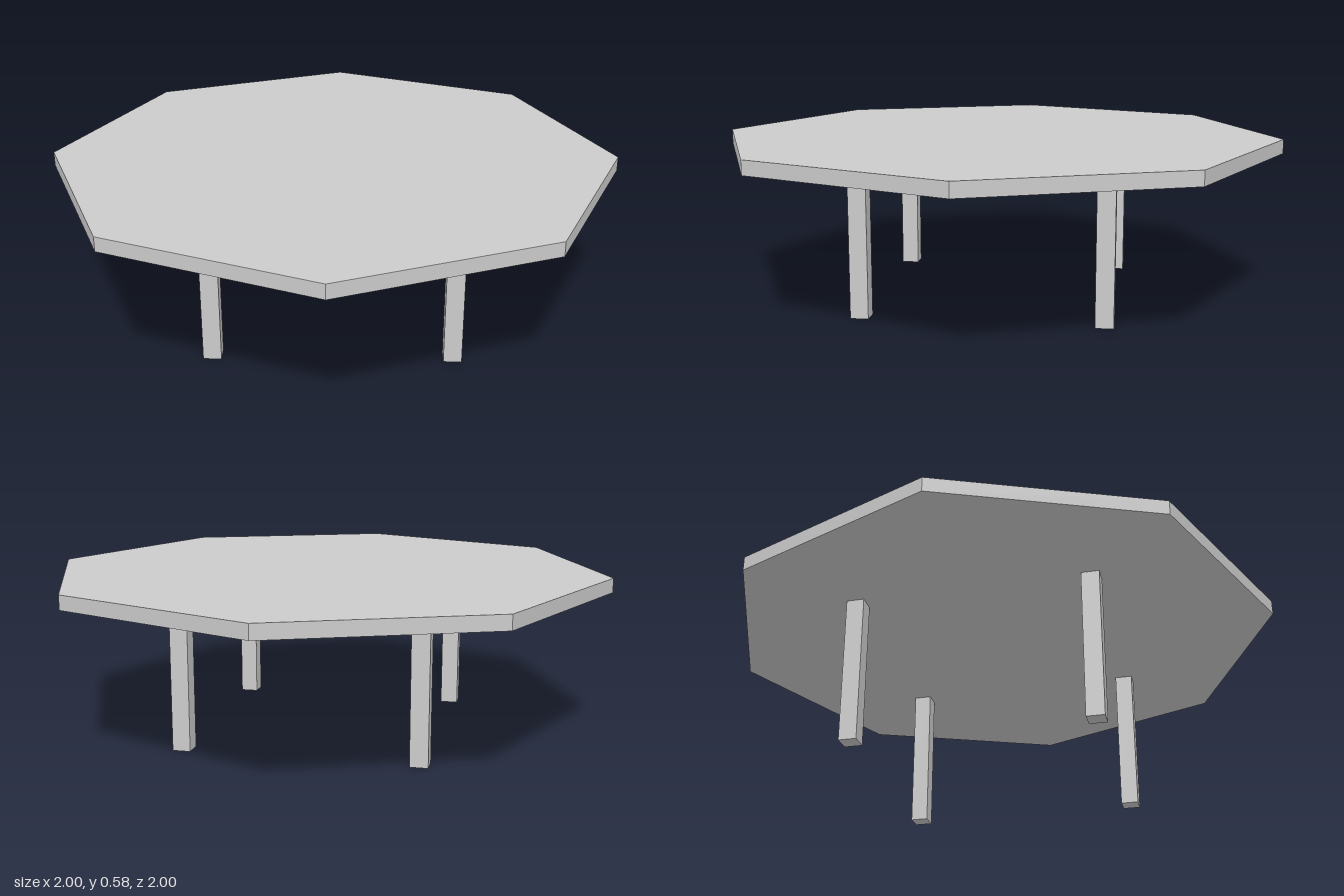
import * as THREE from 'three';

const LEG_WIDTH = 0.062, LEG_HEIGHT = 0.525;
const TOP_BOTTOM = 0.527, TOP_THICKNESS = 0.05;

export function createModel() {
  const table = new THREE.Group();
  table.name = 'table';
  const material = new THREE.MeshStandardMaterial({ color: 0xcccccc, flatShading: true });

  // Octagonal top with corners on the x and z axes
  const top = new THREE.Mesh(new THREE.CylinderGeometry(1, 1, TOP_THICKNESS, 8), material);
  top.name = 'tableTop';
  top.position.y = TOP_BOTTOM + TOP_THICKNESS / 2;
  table.add(top);

  // Four square legs
  const legGeometry = new THREE.BoxGeometry(LEG_WIDTH, LEG_HEIGHT, LEG_WIDTH);
  for (const [side, x] of [['Right', -0.405], ['Left', 0.411]]) {
    for (const [end, z] of [['front', 0.414], ['back', -0.41]]) {
      const leg = new THREE.Mesh(legGeometry, material);
      leg.name = `${end}${side}Leg`;
      leg.position.set(x, LEG_HEIGHT / 2, z);
      table.add(leg);
    }
  }
  return table;
}
